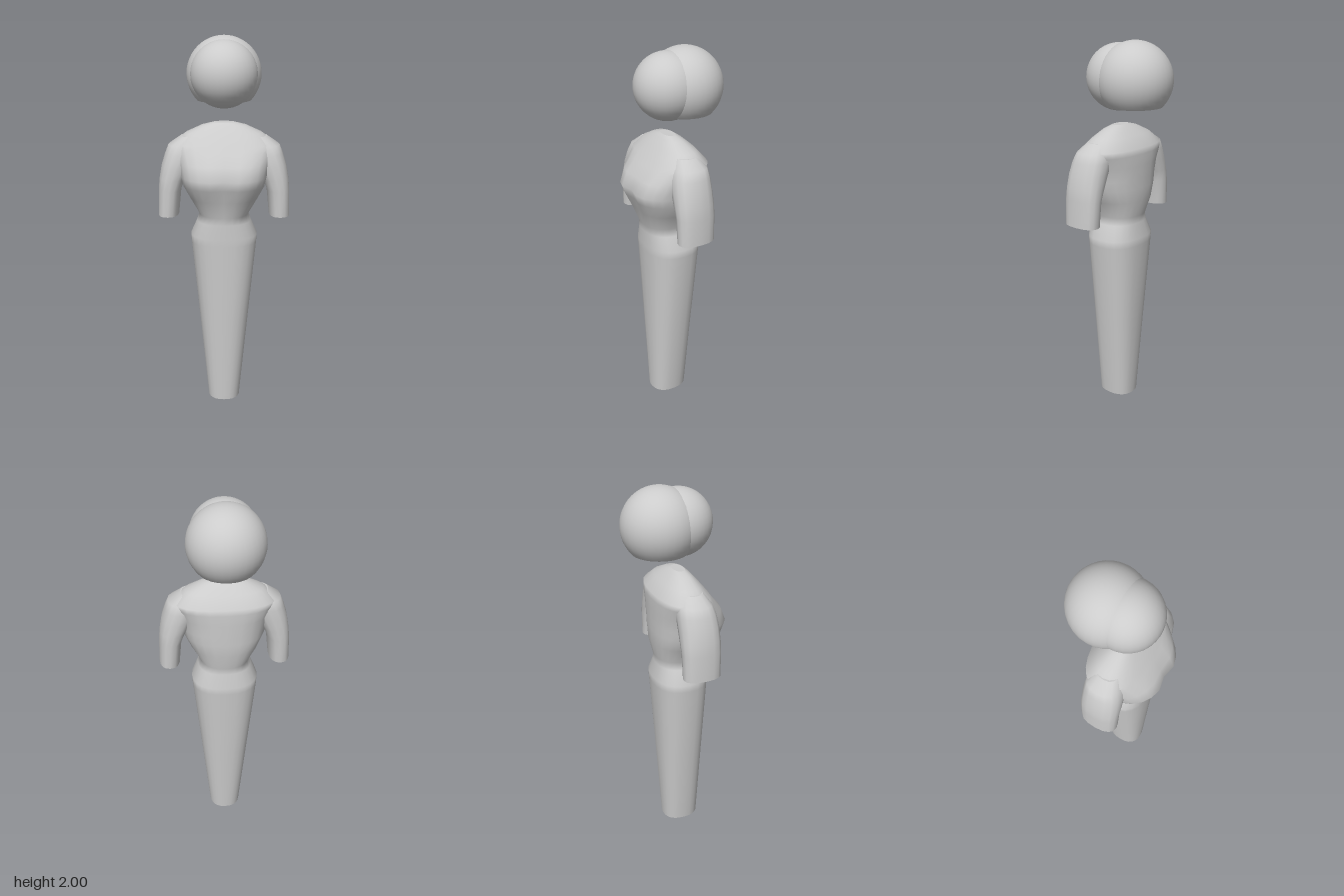
import * as THREE from 'three';

const material = new THREE.MeshStandardMaterial({ color: 0xcccccc });

// Rings, bottom to top: [y, centre x, half width, back z, front z, centre dip]
function loft(rings, sides, power) {
  const pos = [], index = [];
  const addRing = ([y, cx, w, zb, zf, dip = 0]) => {
    for (let i = 0; i < sides; i++) {
      const a = (i / sides) * Math.PI * 2, s = Math.sin(a), c = Math.cos(a);
      const x = Math.sign(s) * Math.abs(s) ** (2 / power) * w;
      let z = (zb + zf) / 2 + Math.sign(c) * Math.abs(c) ** (2 / power) * (zf - zb) / 2;
      if (c > 0) z -= dip * Math.exp(-((x / 0.045) ** 2));
      pos.push(cx + x, y, z);
    }
  };
  rings.forEach(addRing);
  for (let j = 0; j < rings.length - 1; j++) {
    for (let i = 0; i < sides; i++) {
      const k = (i + 1) % sides, a = j * sides, b = a + sides;
      index.push(a + i, a + k, b + k, a + i, b + k, b + i);
    }
  }
  // Flat end caps with their own vertices keep the rims sharp
  [[rings[0], false], [rings[rings.length - 1], true]].forEach(([ring, up]) => {
    const start = pos.length / 3;
    addRing(ring);
    pos.push(ring[1], ring[0], (ring[3] + ring[4]) / 2);
    for (let i = 0; i < sides; i++) {
      const p = start + i, q = start + (i + 1) % sides;
      index.push(start + sides, up ? p : q, up ? q : p);
    }
  });
  const geo = new THREE.BufferGeometry();
  geo.setAttribute('position', new THREE.Float32BufferAttribute(pos, 3));
  geo.setIndex(index);
  geo.computeVertexNormals();
  return geo;
}

export function createModel() {
  const group = new THREE.Group();
  const add = (name, geo, parent = group) => {
    const mesh = new THREE.Mesh(geo, material);
    mesh.name = name;
    parent.add(mesh);
    return mesh;
  };

  // Long tapered skirt, waist, chest and shoulders in one skin
  add('body', loft([
    [0, 0, 0.088, -0.06, 0.145],
    [0.48, 0, 0.133, -0.09, 0.162],
    [0.93, 0, 0.176, -0.118, 0.178],
    [0.97, 0, 0.178, -0.12, 0.18],
    [1.05, 0, 0.143, -0.097, 0.178],
    [1.09, 0, 0.13, -0.1, 0.183, 0.003],
    [1.18, 0, 0.18, -0.12, 0.218, 0.012],
    [1.25, 0, 0.215, -0.121, 0.25, 0.02],
    [1.3, 0, 0.225, -0.122, 0.267, 0.022],
    [1.37, 0, 0.24, -0.122, 0.235, 0.012],
    [1.43, 0, 0.262, -0.122, 0.182, 0.004],
    [1.46, 0, 0.268, -0.118, 0.16],
    [1.515, 0, 0.2, -0.07, 0.115],
    [1.555, 0, 0.115, -0.025, 0.08],
    [1.57, 0, 0.055, 0, 0.06],
  ], 24, 2.4));

  // Short upper arms that sink into the shoulders
  for (const [name, s] of [['leftArm', 1], ['rightArm', -1]]) {
    add(name, loft([
      [1.083, s * 0.295, 0.055, -0.06, 0.14],
      [1.22, s * 0.286, 0.06, -0.064, 0.143],
      [1.28, s * 0.27, 0.07, -0.066, 0.144],
      [1.35, s * 0.245, 0.082, -0.066, 0.142],
      [1.41, s * 0.22, 0.088, -0.066, 0.135],
      [1.455, s * 0.2, 0.09, -0.06, 0.12],
      [1.5, s * 0.16, 0.065, -0.03, 0.09],
    ], 16, 2.4));
  }

  // Round face, with a larger hair ball behind it cut flat at the nape
  const head = new THREE.Group();
  head.name = 'head';
  group.add(head);
  add('face', new THREE.SphereGeometry(0.172, 32, 20), head).position.set(0, 1.812, 0.031);

  const r = 0.196, cut = Math.acos(-0.134 / r);
  const hair = new THREE.Group();
  hair.name = 'hair';
  hair.position.set(0, 1.804, -0.069);
  head.add(hair);
  add('hairBall', new THREE.SphereGeometry(r, 32, 18, 0, Math.PI * 2, 0, cut), hair);
  const nape = add('hairUnderside', new THREE.CircleGeometry(r * Math.sin(cut), 32), hair);
  nape.rotation.x = Math.PI / 2;
  nape.position.y = -0.134;

  return group;
}
